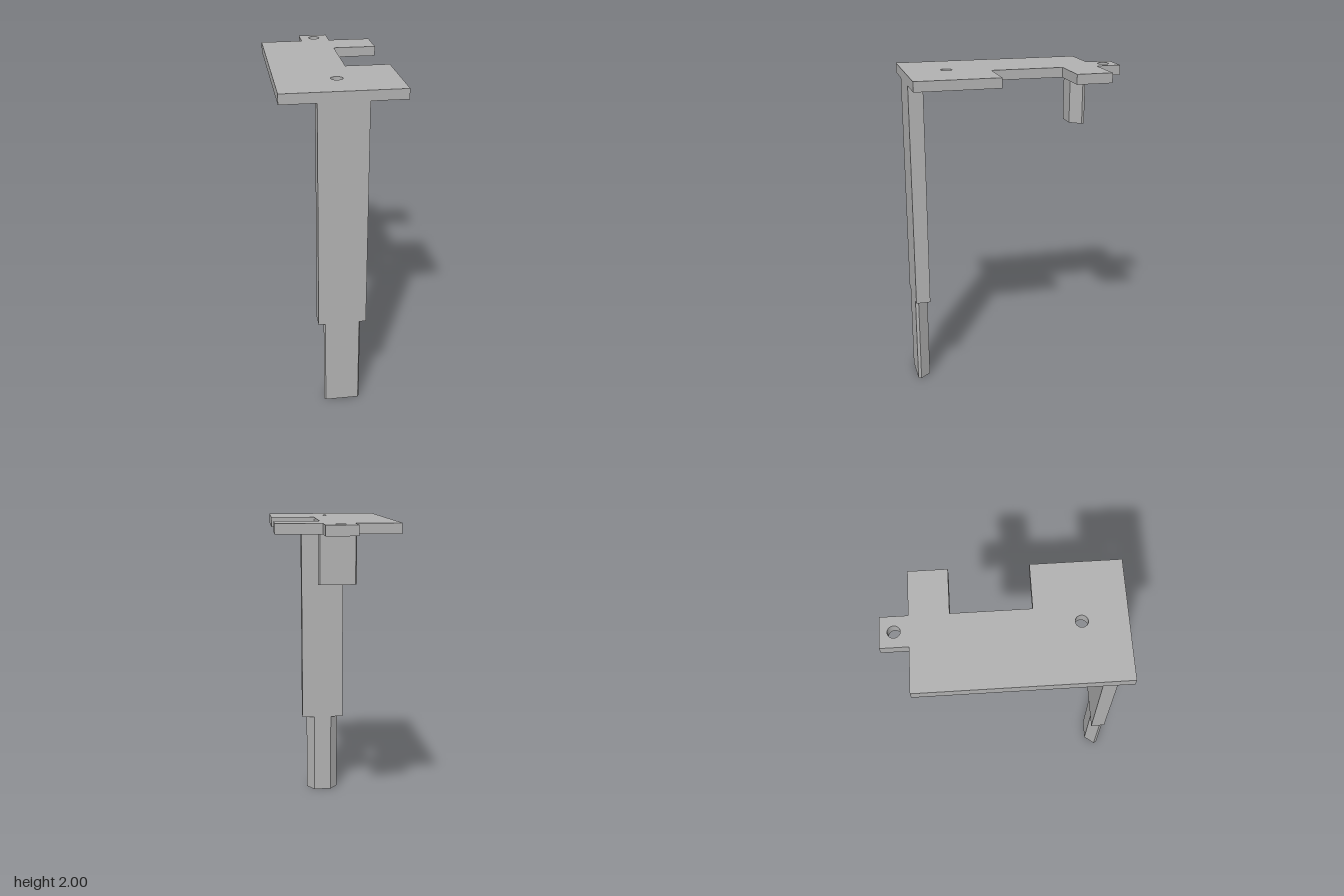
import * as THREE from 'three';

const grey = new THREE.MeshStandardMaterial({ color: 0xb0b0b0 });
grey.name = 'plain grey';

// Extrudes an outline of [x, z] points upward from y0 to y1, with optional round holes.
function prism(name, points, y0, y1, holes = []) {
  const shape = new THREE.Shape(points.map(([x, z]) => new THREE.Vector2(x, -z)));
  for (const [x, z, r] of holes) {
    const hole = new THREE.Path();
    hole.absarc(x, -z, r, 0, Math.PI * 2, true);
    shape.holes.push(hole);
  }
  const geometry = new THREE.ExtrudeGeometry(shape, {
    depth: y1 - y0, bevelEnabled: false, curveSegments: 32,
  });
  geometry.rotateX(-Math.PI / 2);
  geometry.translate(0, y0, 0);
  const mesh = new THREE.Mesh(geometry, grey);
  mesh.name = name;
  return mesh;
}

// Six-sided peg section: flat wide side toward `dir` along z, tapered on the other side.
function pegSection(cx, cz, dir) {
  const half = [[0.102, 0.031], [0.111, 0.0125], [0.06, -0.0525]];
  const right = half.map(([x, z]) => [cx + x, cz + dir * z]);
  const left = half.map(([x, z]) => [cx - x, cz + dir * z]).reverse();
  return [...right, ...left];
}

export function createModel() {
  const model = new THREE.Group();
  model.name = 'bracket';
  const body = new THREE.Group();
  body.name = 'bracketBody';
  body.rotation.y = 0.383; // the whole part stands turned about the vertical axis
  model.add(body);

  const cx = -0.011; // shared centre line of legs and holes

  // Flat top plate with a tab, a side notch and two holes
  body.add(prism('topPlate', [
    [-0.363, 0.604], [0.346, 0.604], [0.346, 0.095], [0.079, 0.095],
    [0.079, -0.35], [0.345, -0.35], [0.345, -0.57], [0.08, -0.57],
    [0.08, -0.725], [-0.101, -0.725], [-0.101, -0.569], [-0.363, -0.569],
  ], 1.94, 2, [[cx, -0.648, 0.035], [cx, 0.35, 0.035]]));

  // Long leg, flush with the front edge of the plate
  const leg = new THREE.Mesh(new THREE.BoxGeometry(0.288, 1.38, 0.089), grey);
  leg.name = 'longLeg';
  leg.position.set(cx, 1.25, 0.5595);
  body.add(leg);

  // Tapered foot below the leg and a short matching peg under the plate
  body.add(prism('legFoot', pegSection(cx, 0.573, 1), 0, 0.56));
  body.add(prism('shortPeg', pegSection(cx, -0.464, -1), 1.65, 1.94));

  return model;
}
